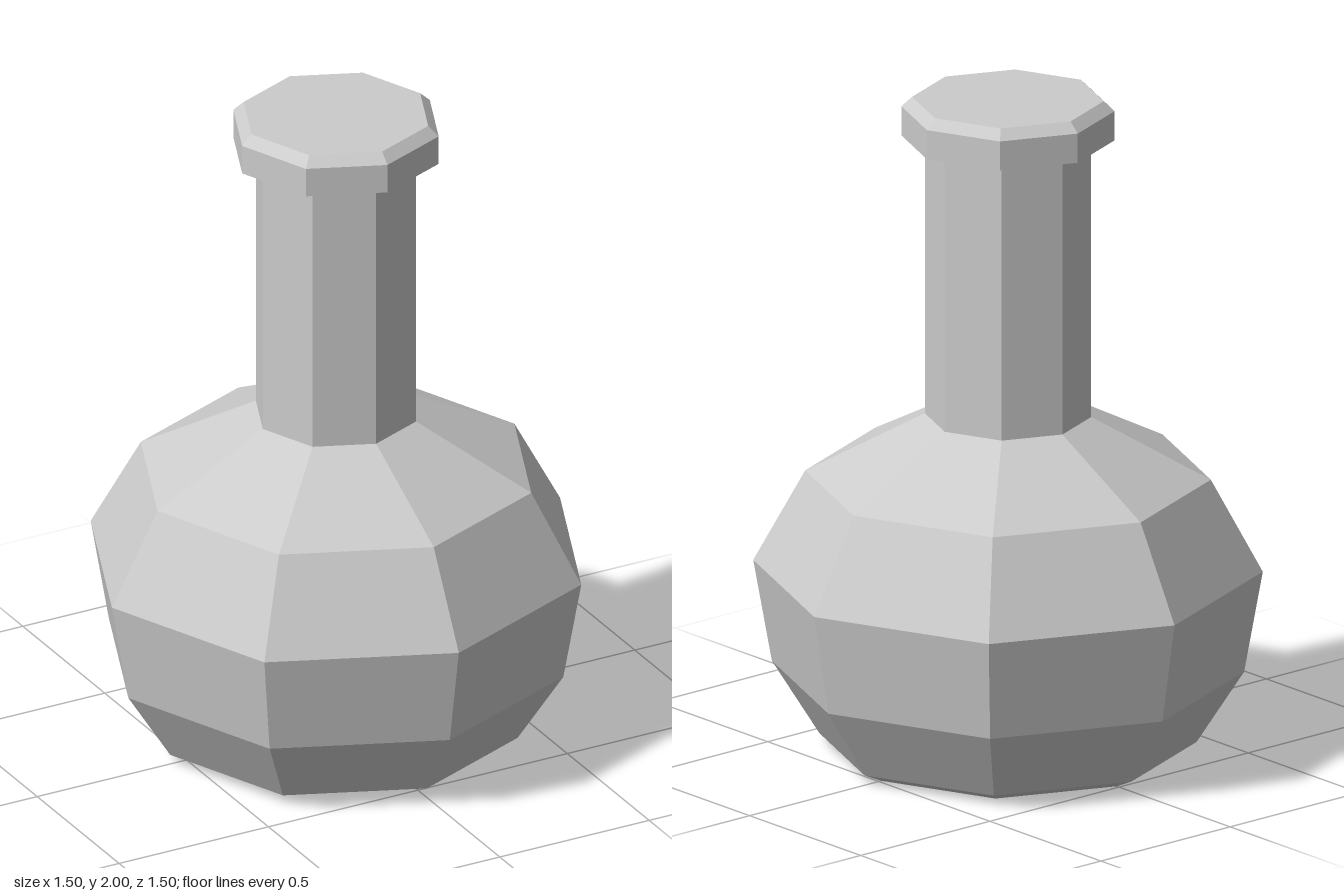
import * as THREE from 'three';

const SIDES = 8;

// Faceted solid of revolution from [radius, height] pairs, bottom to top
function turned(name, profile, material) {
  const points = profile.map(([r, y]) => new THREE.Vector2(r, y));
  const mesh = new THREE.Mesh(new THREE.LatheGeometry(points, SIDES), material);
  mesh.name = name;
  return mesh;
}

export function createModel() {
  const group = new THREE.Group();
  group.name = 'flask';
  const material = new THREE.MeshStandardMaterial({ color: 0xcccccc, flatShading: true });

  // Round body with a flat, bevelled foot and sloping shoulder
  group.add(turned('body', [
    [0, 0], [0.49, 0], [0.555, 0.03], [0.695, 0.25],
    [0.75, 0.56], [0.597, 0.84], [0.245, 1.025],
  ], material));

  // Straight neck
  group.add(turned('neck', [[0.245, 1.025], [0.245, 1.88]], material));

  // Closed rim with a bevelled top edge
  group.add(turned('rim', [
    [0.245, 1.88], [0.314, 1.88], [0.314, 1.97], [0.282, 2], [0, 2],
  ], material));

  return group;
}
